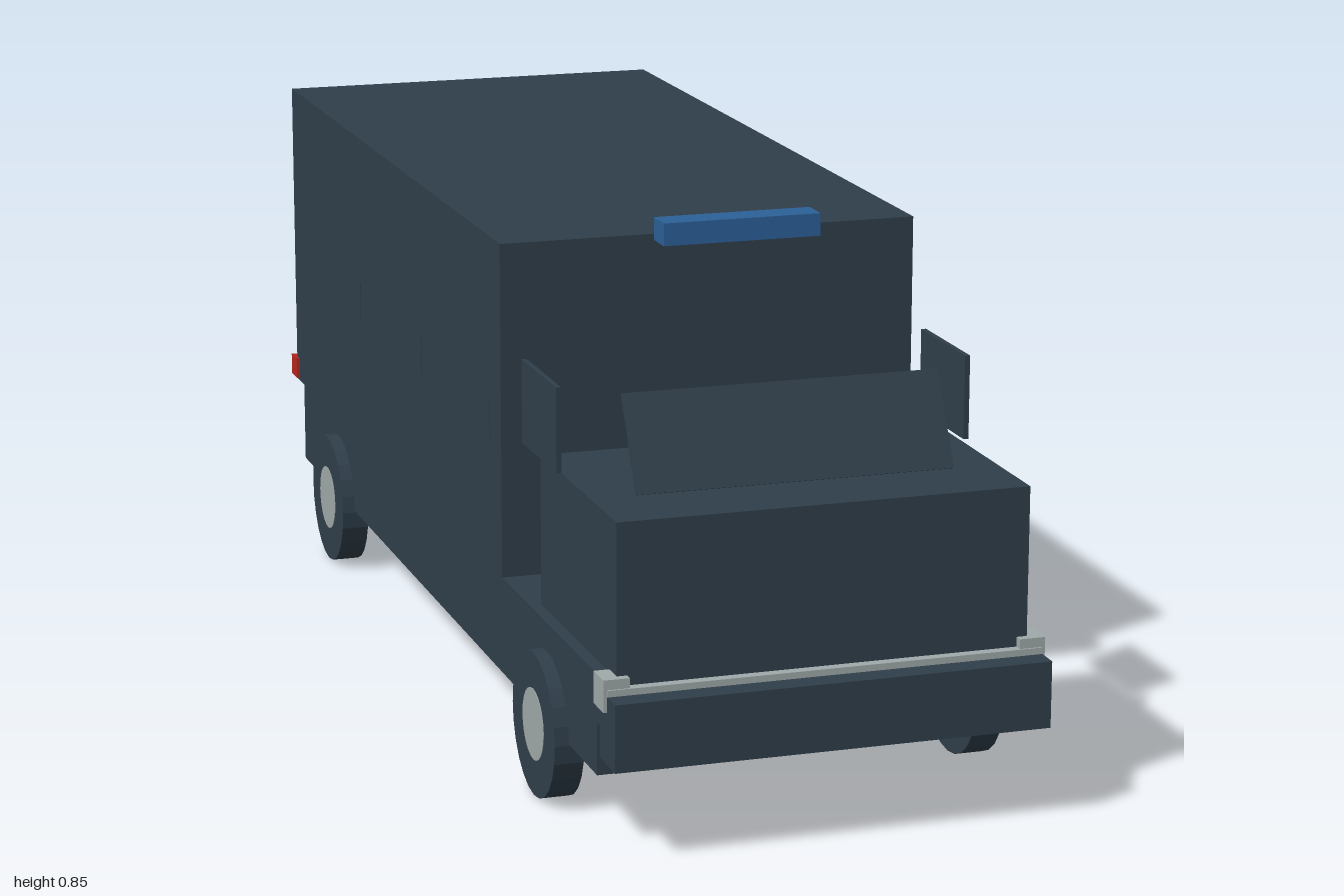
import * as THREE from 'three';

const mat = (name, color) => {
  const m = new THREE.MeshStandardMaterial({ color });
  m.name = name;
  return m;
};

export function createModel() {
  const model = new THREE.Group();
  model.name = 'boxVan';
  const slate = mat('darkSlate', 0x2f3e4a);
  const chrome = mat('chrome', 0xa0a9a9);
  const red = mat('tailRed', 0xb3261f);
  const blue = mat('beaconBlue', 0x2c6098);

  // Box given by its lower and upper limits on each axis
  const box = (name, material, [x0, x1], [y0, y1], [z0, z1]) => {
    const mesh = new THREE.Mesh(new THREE.BoxGeometry(x1 - x0, y1 - y0, z1 - z0), material);
    mesh.position.set((x0 + x1) / 2, (y0 + y1) / 2, (z0 + z1) / 2);
    mesh.name = name;
    model.add(mesh);
    return mesh;
  };
  // Same box on both sides of the body
  const pair = (name, material, [x0, x1], y, z) => {
    box(name + 'Left', material, [x0, x1], y, z);
    box(name + 'Right', material, [-x1, -x0], y, z);
  };

  // Body
  box('chassis', slate, [-0.337, 0.337], [0.115, 0.27], [-0.927, 0.912]);
  box('cargoBox', slate, [-0.337, 0.337], [0.255, 0.8], [-0.98, 0.412]);
  box('hood', slate, [-0.318, 0.318], [0.26, 0.505], [0.562, 0.947]);

  // Front end
  box('bumper', slate, [-0.337, 0.337], [0.147, 0.25], [0.927, 1]);
  box('bumperMount', slate, [-0.337, 0.337], [0.195, 0.25], [0.905, 0.93]);
  box('grilleStrip', chrome, [-0.337, 0.337], [0.25, 0.26], [0.94, 0.963]);
  pair('headlight', chrome, [0.302, 0.342], [0.226, 0.275], [0.912, 0.96]);

  // Tilted windscreen and side windows
  const screen = new THREE.Mesh(new THREE.BoxGeometry(0.496, 0.154, 0.005), slate);
  screen.position.set(0, 0.572, 0.782);
  screen.rotation.x = -Math.atan2(0.075, 0.135);
  screen.name = 'windscreen';
  model.add(screen);
  pair('cabWindow', slate, [0.32, 0.328], [0.508, 0.639], [0.497, 0.68]);
  for (const z of [0.15, -0.265, -0.68]) {
    pair('cargoWindow', slate, [0.332, 0.3378], [0.48, 0.545], [z - 0.2, z + 0.2]);
  }

  // Lights
  box('lightBar', blue, [-0.125, 0.125], [0.815, 0.85], [0.519, 0.568]);
  pair('tailLight', red, [0.303, 0.343], [0.26, 0.297], [-1, -0.96]);

  // Wheels with hubs showing on both faces
  const tireGeo = new THREE.CylinderGeometry(0.113, 0.113, 0.046, 24).toNonIndexed();
  const hubGeo = new THREE.CylinderGeometry(0.056, 0.056, 0.048, 24).toNonIndexed();
  for (const g of [tireGeo, hubGeo]) {
    g.rotateZ(Math.PI / 2);
    g.computeVertexNormals();
  }
  for (const side of [-1, 1]) {
    for (const z of [0.657, -0.66]) {
      const wheel = new THREE.Group();
      wheel.name = (z > 0 ? 'front' : 'rear') + 'Wheel' + (side > 0 ? 'Left' : 'Right');
      const tire = new THREE.Mesh(tireGeo, slate);
      tire.name = 'tire';
      const hub = new THREE.Mesh(hubGeo, chrome);
      hub.name = 'hub';
      wheel.add(tire, hub);
      wheel.position.set(side * 0.336, 0.113, z);
      model.add(wheel);
    }
  }
  return model;
}
